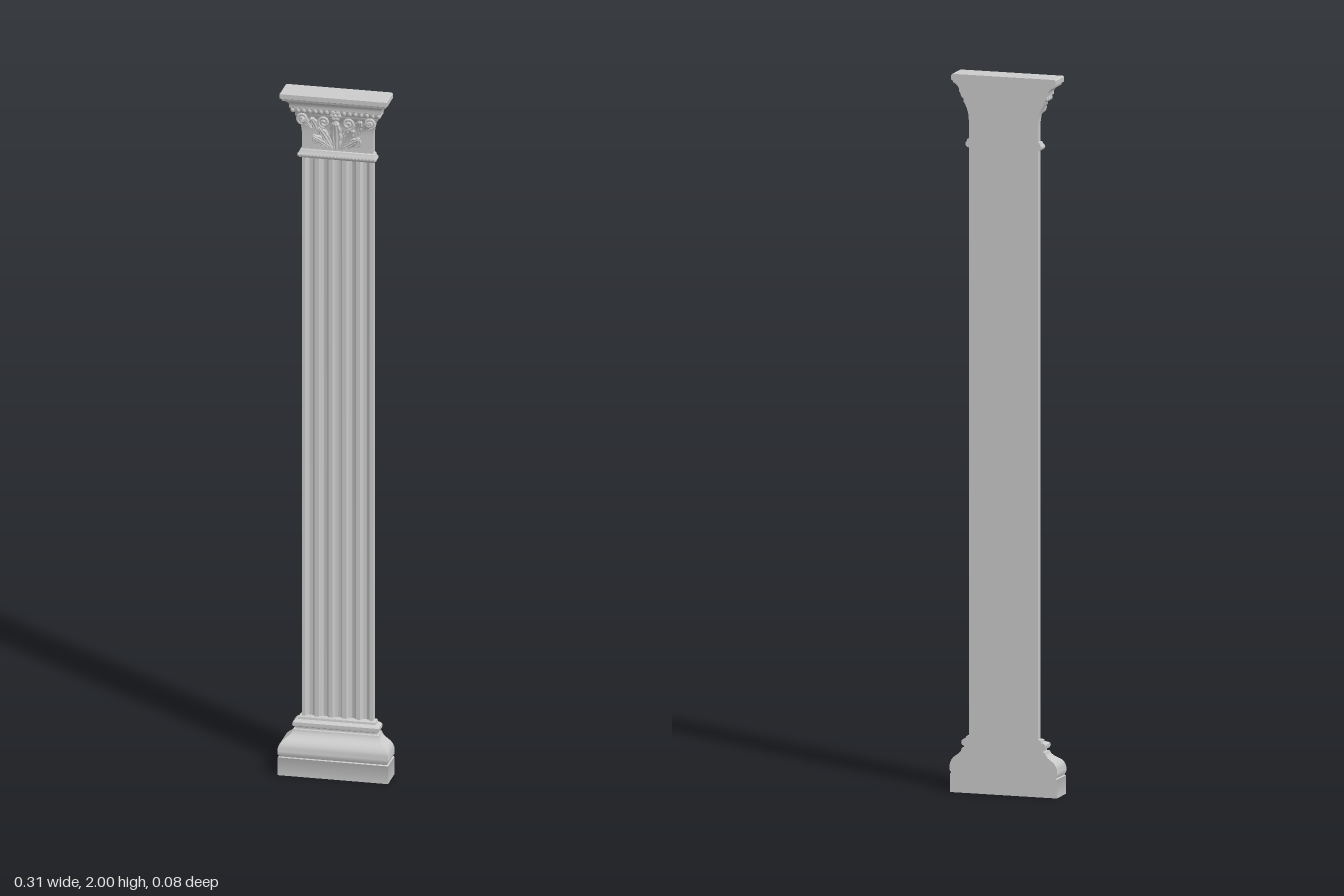
import * as THREE from 'three';
import { toCreasedNormals } from 'three/addons/utils/BufferGeometryUtils.js';
import { ParametricGeometry } from 'three/addons/geometries/ParametricGeometry.js';

const HALF = 0.1, FRONT = -0.017, BACK = -0.04;
const mat = new THREE.MeshStandardMaterial({ color: 0xcccccc });
const leafMat = new THREE.MeshStandardMaterial({ color: 0xcccccc, side: THREE.DoubleSide });

function add(parent, name, geometry, x = 0, y = 0, z = 0, material = mat) {
  const mesh = new THREE.Mesh(geometry, material);
  mesh.name = name;
  mesh.position.set(x, y, z);
  parent.add(mesh);
  return mesh;
}

// Moulding mitred round the two sides and the front, with a flat back.
// Profile points are [projection from the shaft, height].
function moulding(profile) {
  const pos = [];
  const rings = profile.map(([d, y]) => [
    [-HALF - d, y, BACK], [-HALF - d, y, FRONT + d],
    [HALF + d, y, FRONT + d], [HALF + d, y, BACK],
  ]);
  const quad = (a, b, c, d) => pos.push(...a, ...b, ...c, ...a, ...c, ...d);
  for (let i = 0; i < rings.length - 1; i++) {
    const lo = rings[i], hi = rings[i + 1];
    for (let j = 0; j < 4; j++) {
      const k = (j + 1) % 4;
      quad(lo[j], lo[k], hi[k], hi[j]);
    }
  }
  const first = rings[0], last = rings[rings.length - 1];
  quad(last[0], last[1], last[2], last[3]);
  quad(first[3], first[2], first[1], first[0]);
  const geo = new THREE.BufferGeometry();
  geo.setAttribute('position', new THREE.Float32BufferAttribute(pos, 3));
  return toCreasedNormals(geo, 0.7);
}

// Shaft with hollow flutes on its front
function flutedShaft(bottom, top, flutes) {
  const s = new THREE.Shape();
  const pitch = 0.193 / flutes;
  s.moveTo(-HALF, -BACK);
  s.lineTo(-HALF, -FRONT);
  for (let i = 0; i < flutes; i++) {
    const cx = (i - (flutes - 1) / 2) * pitch;
    s.lineTo(cx - pitch * 0.35, -FRONT);
    s.absellipse(cx, -FRONT, pitch * 0.35, 0.01, Math.PI, 0, true);
  }
  s.lineTo(HALF, -FRONT);
  s.lineTo(HALF, -BACK);
  const geo = new THREE.ExtrudeGeometry(s, { depth: top - bottom, bevelEnabled: false, curveSegments: 10 });
  geo.rotateX(-Math.PI / 2).translate(0, bottom, 0);
  return toCreasedNormals(geo, 0.6);
}

// Lobed leaf growing along +y, ridged in the middle and curling out at the tip
function leaf(length, width, curl) {
  return new ParametricGeometry((u, v, p) => {
    const s = u * 2 - 1;
    const outline = Math.pow(Math.sin(Math.PI * (0.12 + 0.86 * v)), 0.7);
    const lobes = 0.8 + 0.2 * Math.abs(Math.sin(v * Math.PI * 4));
    const x = s * width / 2 * outline * lobes;
    const y = length * (v - 0.13 * v * v * v) + Math.abs(s) * 0.006 * (1 - v);
    const veins = 0.0022 * Math.cos(s * Math.PI * 4);
    p.set(x, y, 0.008 * (1 - s * s) + veins + curl * v * v - 0.012 * Math.max(0, v - 0.85) / 0.15);
  }, 16, 24);
}

// Spiral scroll; side = 1 or -1 sets its hand
function scroll(radius, side, thickness) {
  const pts = [];
  for (let i = 0; i <= 22; i++) {
    const t = i / 22, a = -Math.PI / 2 + t * Math.PI * 3.4, r = radius * (1 - 0.85 * t);
    pts.push(new THREE.Vector3(side * r * Math.cos(a), r * Math.sin(a), 0.005 * t));
  }
  return new THREE.TubeGeometry(new THREE.CatmullRomCurve3(pts), 50, thickness, 8);
}

// Row of small rounded beads along the front and both sides
function beadRow(parent, name, d, y, count, r, stretch) {
  const geo = new THREE.SphereGeometry(r, 10, 8).scale(1, stretch, 1);
  const w = HALF + d;
  const step = 2 * w / (count - 1);
  for (let i = 0; i < count; i++) add(parent, name, geo, -w + i * step, y, FRONT + d);
  for (const side of [-1, 1])
    for (let z = FRONT + d - step; z > BACK + r; z -= step) add(parent, name, geo, side * w, y, z);
}

export function createModel() {
  const model = new THREE.Group();
  model.name = 'pilaster';

  // Base: plinth, large torus, hollow and upper torus
  add(model, 'base', moulding([
    [0.055, 0], [0.055, 0.052], [0.051, 0.054], [0.055, 0.06], [0.056, 0.07], [0.055, 0.08],
    [0.051, 0.09], [0.045, 0.098], [0.037, 0.104], [0.029, 0.11], [0.023, 0.117], [0.02, 0.125],
    [0.014, 0.126], [0.014, 0.131], [0.02, 0.134], [0.022, 0.14], [0.021, 0.146], [0.016, 0.15],
    [0.009, 0.152], [0.008, 0.158], [0, 0.16],
  ]));

  add(model, 'shaft', flutedShaft(0.15, 1.81, 5));

  // Collar between shaft and capital
  add(model, 'collar', moulding([
    [0, 1.798], [0.006, 1.8], [0.01, 1.805], [0.01, 1.811], [0.006, 1.816], [0.004, 1.822], [0, 1.824],
  ]));
  beadRow(model, 'collarBead', 0.006, 1.808, 22, 0.0055, 1);

  // Capital: plain bell, stepped mouldings and top slab
  const capital = new THREE.Group();
  capital.name = 'capital';
  model.add(capital);
  add(capital, 'bell', moulding([
    [0, 1.82], [0, 1.875], [0.002, 1.895], [0.007, 1.91], [0.013, 1.922], [0.016, 1.926],
    [0.016, 1.934], [0.02, 1.937], [0.024, 1.944], [0.025, 1.95], [0.029, 1.952], [0.029, 1.962],
    [0.033, 1.968], [0.04, 1.974], [0.045, 1.978],
  ]));
  add(capital, 'abacus', moulding([[0.045, 1.976], [0.047, 1.982], [0.051, 1.984], [0.051, 1.997], [0.048, 2]]));
  beadRow(capital, 'eggMoulding', 0.021, 1.944, 16, 0.0065, 1.3);

  // Leaf spray on the front: [x, y, lean, length, width, curl]
  const z = FRONT + 0.001;
  add(capital, 'centreLeaf', leaf(0.105, 0.046, 0.02), 0, 1.828, z + 0.003, leafMat);
  const leaves = [
    [0.012, 1.832, 0.5, 0.088, 0.036, 0.016],
    [0.014, 1.836, 1.0, 0.072, 0.032, 0.012],
    [0.05, 1.872, 0.35, 0.065, 0.032, 0.02],
    [0.07, 1.888, 0.6, 0.048, 0.026, 0.026],
  ];
  for (const side of [-1, 1]) {
    for (const [x, y, lean, length, width, curl] of leaves) {
      const m = add(capital, 'sideLeaf', leaf(length, width, curl), side * x, y, z, leafMat);
      m.rotation.z = -side * lean;
    }
    // Scrolls above and below the leaves, and at the corners
    add(capital, 'innerScroll', scroll(0.017, side, 0.004), side * 0.034, 1.912, FRONT + 0.015);
    add(capital, 'lowerScroll', scroll(0.013, side, 0.0035), side * 0.055, 1.858, FRONT + 0.006);
    add(capital, 'cornerScroll', scroll(0.016, side, 0.0045), side * 0.094, 1.918, FRONT + 0.015);
  }

  // Flower at the top centre
  const flower = new THREE.Group();
  flower.name = 'flower';
  flower.position.set(0, 1.936, FRONT + 0.024);
  capital.add(flower);
  add(flower, 'flowerCentre', new THREE.SphereGeometry(0.006, 12, 8));
  const petal = new THREE.SphereGeometry(0.007, 10, 8).scale(1, 1, 0.6);
  for (let i = 0; i < 6; i++) {
    const a = i * Math.PI / 3;
    add(flower, 'petal', petal, 0.01 * Math.cos(a), 0.01 * Math.sin(a), -0.001);
  }
  return model;
}
